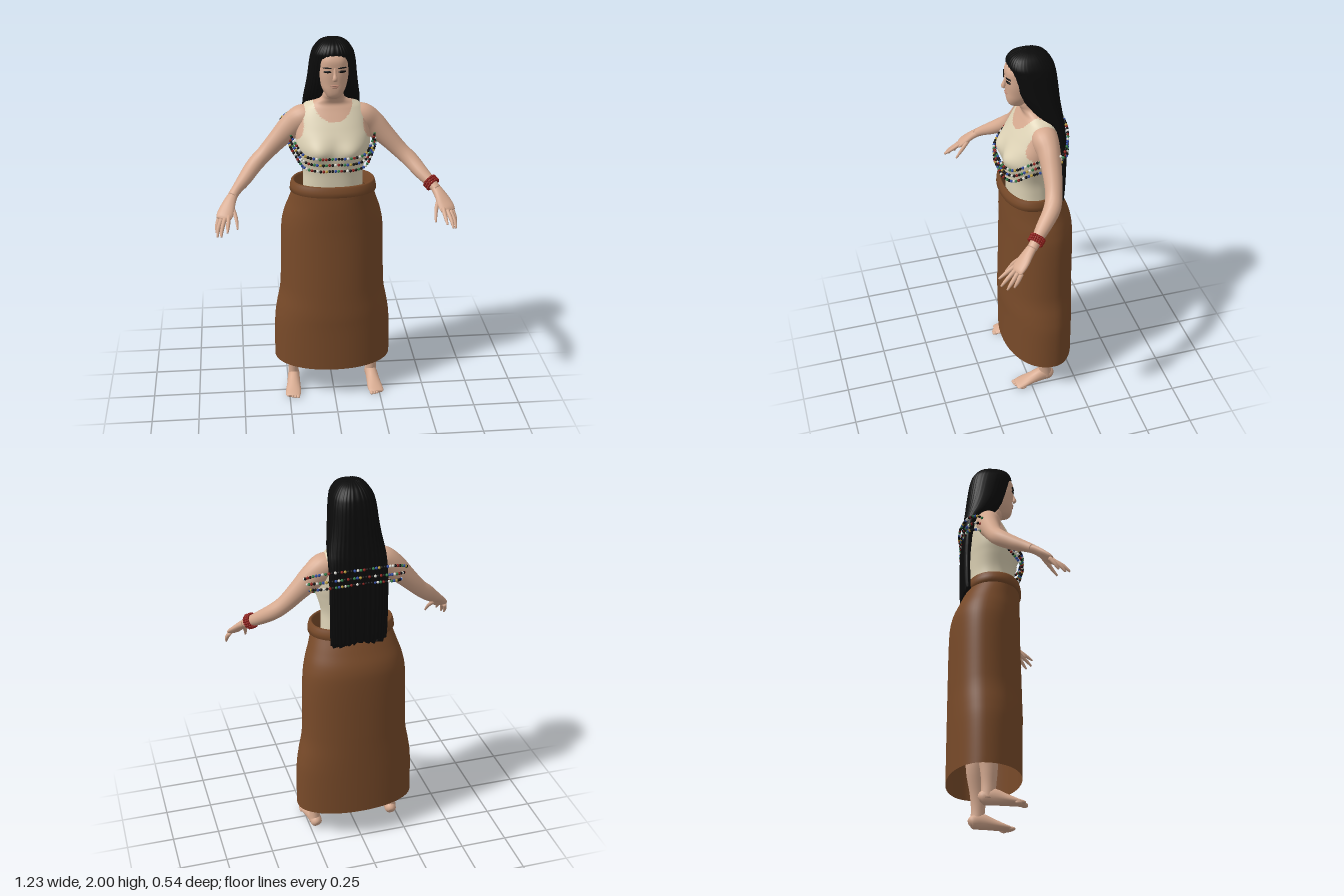
import * as THREE from 'three';
import { mergeGeometries } from 'three/addons/utils/BufferGeometryUtils.js';

const V = (x, y, z) => new THREE.Vector3(x, y, z);

// Catmull-Rom interpolation between rows of numbers, n steps per span
function smooth(rows, n) {
  const out = [], last = rows.length - 1;
  for (let i = 0; i < last * n; i++) {
    const k = Math.floor(i / n), t = i / n - k;
    const [a, b, c, d] = [-1, 0, 1, 2].map(o => rows[Math.min(Math.max(k + o, 0), last)]);
    out.push(b.map((q, j) => {
      const cubic = 3 * (q - c[j]) + d[j] - a[j];
      const square = 2 * a[j] - 5 * q + 4 * c[j] - d[j];
      return q + 0.5 * t * (c[j] - a[j] + t * (square + t * cubic));
    }));
  }
  return [...out, rows[last]];
}

// Skin rings of points; pick(centre) may choose a material index per face
function skinRings(rings, caps = true, pick = null) {
  const n = rings[0].length;
  const end = ring => {
    const c = ring.reduce((sum, p) => sum.add(p), V(0, 0, 0)).divideScalar(n);
    return ring.map(() => c);
  };
  const all = caps ? [end(rings[0]), ...rings, end(rings.at(-1))] : rings;
  const points = all.flat(), faces = [[], []];
  const tri = (a, b, c) => {
    const centre = points[a].clone().add(points[b]).add(points[c]).divideScalar(3);
    faces[pick ? pick(centre) : 0].push(a, b, c);
  };
  for (let r = 0; r < all.length - 1; r++) {
    for (let i = 0; i < n; i++) {
      const a = r * n + i, b = r * n + (i + 1) % n;
      tri(a, a + n, b);
      tri(b, a + n, b + n);
    }
  }
  const g = new THREE.BufferGeometry().setFromPoints(points).setIndex(faces.flat());
  if (pick) faces.forEach((f, m) => g.addGroup(m * faces[0].length, f.length, m));
  g.computeVertexNormals();
  return g;
}

// Horizontal sections: [y, half width, front z, back z, z of widest point]
function sections(rows, n, power, warp = () => {}) {
  const f = q => Math.sign(q) * Math.abs(q) ** (2 / power);
  return rows.map(([y, rx, zf, zb, zc = (zf + zb) / 2], r) => Array.from({ length: n }, (_, i) => {
    const t = i / n * Math.PI * 2, s = Math.sin(t);
    const p = V(rx * f(Math.cos(t)), y, zc + (s > 0 ? zf - zc : zc - zb) * f(s));
    warp(p, t, r);
    return p;
  }));
}

// Limb along a path: rows are [x, y, z, radius across, radius along ref]
function limb(rows, ref, n = 16, steps = 5) {
  const s = smooth(rows, steps), P = s.map(r => V(r[0], r[1], r[2]));
  return skinRings(P.map((p, i) => {
    const t = P[Math.min(i + 1, P.length - 1)].clone().sub(P[Math.max(i - 1, 0)]).normalize();
    const v = ref.clone().addScaledVector(t, -ref.dot(t)).normalize(), u = t.clone().cross(v);
    return Array.from({ length: n }, (_, k) => {
      const a = k / n * Math.PI * 2;
      return p.clone().addScaledVector(u, s[i][3] * Math.cos(a)).addScaledVector(v, s[i][4] * Math.sin(a));
    });
  }));
}

export function createModel() {
  const model = new THREE.Group();
  const mat = (name, color) => Object.assign(new THREE.MeshStandardMaterial({ color }), { name });
  const skin = mat('skin', 0xd6aa90), cream = mat('cream cloth', 0xded3b6), brown = mat('brown cloth', 0x784a29);
  const black = mat('black', 0x0b0b0b), red = mat('red', 0x8c1c18), lip = mat('lips', 0xb98672);
  const white = mat('white bead', 0xd8d8d0), blue = mat('blue bead', 0x2b48a0);
  const green = mat('green bead', 0x2f7a45), yellow = mat('yellow bead', 0xb89a3a);
  brown.side = THREE.DoubleSide;
  const add = (name, geo, material) => {
    const m = new THREE.Mesh(geo, material);
    m.name = name;
    model.add(m);
    return m;
  };
  const blob = (name, material, x, y, z, a, b, c) => {
    const m = add(name, new THREE.SphereGeometry(1, 14, 10), material);
    m.position.set(x, y, z);
    m.scale.set(a, b, c);
    return m;
  };

  // Wrapped skirt and its rolled waistband
  const skirt = smooth([
    [0.18, 0.32, 0.105, -0.27, -0.11], [0.4, 0.316, 0.107, -0.27, -0.11], [0.5, 0.304, 0.11, -0.27, -0.11],
    [0.6, 0.285, 0.108, -0.27, -0.11], [0.7, 0.279, 0.106, -0.27, -0.11], [0.95, 0.273, 0.1, -0.268, -0.11],
    [1.05, 0.258, 0.1, -0.258, -0.1], [1.13, 0.232, 0.1, -0.225, -0.08], [1.2, 0.21, 0.098, -0.193, -0.05]], 5);
  add('skirt', skinRings(sections(skirt, 64, 2.1), false), brown);
  const band = [[1.195, 0.208, 0.096, -0.19], [1.2, 0.226, 0.108, -0.2], [1.225, 0.224, 0.106, -0.198],
    [1.248, 0.218, 0.1, -0.192], [1.256, 0.21, 0.094, -0.186], [1.248, 0.2, 0.085, -0.178], [1.19, 0.195, 0.08, -0.173]];
  add('waistband', skinRings(sections(band, 64, 2.2), false), brown);

  // Torso: sleeveless top with skin at the neckline and armholes
  const torso = smooth([
    [1.15, 0.16, 0.06, -0.16], [1.25, 0.155, 0.065, -0.16], [1.32, 0.157, 0.07, -0.16], [1.4, 0.178, 0.08, -0.165],
    [1.45, 0.19, 0.08, -0.17], [1.5, 0.19, 0.068, -0.175], [1.55, 0.182, 0.045, -0.18], [1.6, 0.172, 0.018, -0.182],
    [1.64, 0.148, -0.003, -0.175], [1.665, 0.11, -0.012, -0.16], [1.69, 0.066, -0.002, -0.125],
    [1.72, 0.054, 0.014, -0.11], [1.78, 0.05, 0.016, -0.1]], 8);
  const bust = p => {
    const dx = (Math.abs(p.x) - 0.085) / 0.06, dy = (p.y - 1.435) / 0.055;
    if (p.z > -0.04) p.z += 0.027 * Math.exp(-dx * dx - dy * dy);
  };
  const bare = p => {
    const neck = p.z > -0.07 ? Math.hypot(p.x, p.y - 1.68) < 0.1 : p.y > 1.665;
    const armhole = Math.hypot((Math.abs(p.x) - 0.235) / 0.085, (p.y - 1.565) / 0.1) < 1;
    return p.y > 1.68 || neck || armhole ? 1 : 0;
  };
  add('torso', skinRings(sections(torso, 96, 2.3, bust), true, bare), [cream, skin]);

  // Head and face
  const skull = smooth([
    [1.705, 0.022, 0.03, -0.04], [1.718, 0.037, 0.052, -0.06], [1.735, 0.048, 0.062, -0.08], [1.76, 0.061, 0.066, -0.1],
    [1.79, 0.07, 0.067, -0.12], [1.83, 0.077, 0.07, -0.13], [1.87, 0.079, 0.07, -0.14], [1.91, 0.077, 0.069, -0.14],
    [1.95, 0.065, 0.045, -0.12], [1.975, 0.04, 0, -0.09]], 4);
  add('head', skinRings(sections(skull, 40, 2.6)), skin);
  add('nose', limb([[0, 1.872, 0.066, 0.006, 0.006], [0, 1.845, 0.073, 0.008, 0.008], [0, 1.822, 0.08, 0.012, 0.011],
    [0, 1.812, 0.076, 0.012, 0.006]], V(0, 0, 1), 12), skin);
  blob('upperLip', lip, 0, 1.784, 0.067, 0.022, 0.0045, 0.006);
  blob('lowerLip', lip, 0, 1.776, 0.066, 0.018, 0.005, 0.006);

  // Long hair, finely grooved, with ragged ends
  const hair = smooth([
    [1.185, 0.146, -0.165, -0.206], [1.25, 0.149, -0.17, -0.21], [1.4, 0.15, -0.172, -0.213], [1.55, 0.15, -0.155, -0.211],
    [1.63, 0.148, -0.11, -0.206], [1.68, 0.144, -0.055, -0.2], [1.74, 0.134, -0.01, -0.192], [1.8, 0.125, 0.022, -0.186],
    [1.87, 0.117, 0.042, -0.177], [1.91, 0.11, 0.052, -0.169], [1.94, 0.1, 0.059, -0.158], [1.975, 0.074, 0.04, -0.13],
    [1.993, 0.043, 0, -0.092], [2.0, 0.012, -0.035, -0.058]], 4);
  const strands = (p, t, r) => {
    p.z += 0.0015 * Math.sin(t * 36);
    if (r === 0) p.y += 0.012 * Math.sin(p.x * 170) + 0.008 * Math.sin(p.x * 410);
  };
  add('hair', skinRings(sections(hair, 144, 2.6, strands)), black);

  for (const s of [-1, 1]) {
    const side = s > 0 ? 'left' : 'right';
    const flip = rows => rows.map(([x, ...rest]) => [s * x, ...rest]);
    blob(side + 'Eye', black, s * 0.037, 1.855, 0.065, 0.02, 0.006, 0.006).rotation.y = s * 0.25;
    blob(side + 'Eyebrow', black, s * 0.038, 1.874, 0.065, 0.024, 0.0035, 0.006).rotation.set(0, s * 0.25, s * 0.08);
    // Arm and hand
    add(side + 'Arm', limb(flip([[0.11, 1.6, -0.085, 0.06, 0.05], [0.155, 1.575, -0.085, 0.066, 0.068],
      [0.21, 1.53, -0.09, 0.056, 0.066], [0.28, 1.462, -0.085, 0.048, 0.052], [0.35, 1.39, -0.072, 0.042, 0.043],
      [0.405, 1.34, -0.045, 0.042, 0.041], [0.46, 1.285, 0.015, 0.036, 0.035], [0.5, 1.25, 0.06, 0.027, 0.027],
      [0.525, 1.225, 0.09, 0.026, 0.022]]), V(0, 1, 0), 20), skin);
    add(side + 'Palm', limb(flip([[0.515, 1.235, 0.078, 0.024, 0.022], [0.535, 1.21, 0.11, 0.031, 0.02],
      [0.555, 1.175, 0.145, 0.041, 0.018], [0.568, 1.15, 0.172, 0.042, 0.015],
      [0.574, 1.14, 0.184, 0.036, 0.008]]), V(0, 1, 0.3)), skin);
    const fingers = [
      [[0.545, 1.155, 0.18], [0.55, 1.125, 0.225], [0.555, 1.1, 0.264]],
      [[0.565, 1.145, 0.185], [0.58, 1.11, 0.23], [0.586, 1.078, 0.262]],
      [[0.583, 1.14, 0.178], [0.6, 1.1, 0.212], [0.605, 1.066, 0.236]],
      [[0.595, 1.14, 0.162], [0.607, 1.105, 0.185], [0.609, 1.075, 0.202]],
      [[0.53, 1.19, 0.13], [0.51, 1.145, 0.175], [0.503, 1.095, 0.215]]];
    const radii = [0.011, 0.01, 0.005];
    fingers.forEach((f, i) => {
      const rows = f.map((p, k) => [...p, radii[k], radii[k]]);
      add(side + (i < 4 ? 'Finger' : 'Thumb'), limb(flip(rows), V(0.2, 1, 0.3), 8, 3), skin);
    });
    // Leg, foot and toes
    add(side + 'Leg', limb(flip([[0.22, 0.03, -0.09, 0.032, 0.036], [0.22, 0.1, -0.085, 0.029, 0.036],
      [0.218, 0.19, -0.085, 0.036, 0.044], [0.205, 0.34, -0.095, 0.055, 0.058], [0.185, 0.52, -0.08, 0.055, 0.056],
      [0.15, 0.8, -0.075, 0.078, 0.082], [0.11, 1.05, -0.07, 0.09, 0.1]]), V(0, 0, 1)), skin);
    add(side + 'Foot', limb(flip([[0.214, 0.03, -0.13, 0.014, 0.014], [0.216, 0.036, -0.115, 0.03, 0.034],
      [0.22, 0.044, -0.07, 0.033, 0.042], [0.224, 0.032, -0.01, 0.037, 0.03], [0.228, 0.021, 0.04, 0.042, 0.019],
      [0.232, 0.014, 0.075, 0.041, 0.012], [0.233, 0.011, 0.088, 0.034, 0.008]]), V(0, 1, 0)), skin);
    for (let i = 0; i < 5; i++) {
      blob(side + 'Toe', skin, s * (0.205 + i * 0.015), 0.01, 0.088 - i * i * 0.0022, 0.011 - i * 0.0008, 0.0095, 0.018);
    }
  }

  // Three strings of beads around the chest and back, merged by colour
  const beadSets = new Map();
  const bead = (p, material) => {
    if (!beadSets.has(material)) beadSets.set(material, []);
    beadSets.get(material).push(new THREE.SphereGeometry(0.0075, 8, 6).translate(p.x, p.y, p.z));
  };
  const palette = [black, white, black, red, blue, black, green, white, black, yellow, blue, red, black, green];
  [[1.415, 1.595, -0.224], [1.383, 1.55, -0.213], [1.35, 1.515, -0.21]].forEach(([front, back, zBack], k) => {
    const d = k * 0.032;
    const half = [[0.09, front, 0.108], [0.155, front + 0.01, 0.075], [0.198, 1.47 - d, 0.01], [0.225, 1.505 - d, -0.07],
      [0.262 - d * 0.4, 1.545 - d, -0.14], [0.19, back - 0.015, -0.19]];
    const loop = [V(0, front, 0.112), ...half.map(p => V(...p)), V(0, back, zBack),
      ...half.toReversed().map(([x, y, z]) => V(-x, y, z))];
    const points = new THREE.CatmullRomCurve3(loop, true).getSpacedPoints(92).slice(1);
    points.forEach((p, i) => bead(p, palette[(i * 5 + k * 3 + (i >> 3)) % palette.length]));
  });

  // Red bead bracelet on the left wrist
  const axis = V(0.04, -0.035, 0.045).normalize();
  const u = axis.clone().cross(V(0, 1, 0)).normalize(), w = axis.clone().cross(u);
  for (let i = 0; i < 54; i++) {
    const a = i / 18 * Math.PI * 2, row = Math.floor(i / 18) - 1;
    bead(V(0.5, 1.25, 0.06).addScaledVector(axis, row * 0.013)
      .addScaledVector(u, 0.034 * Math.cos(a)).addScaledVector(w, 0.034 * Math.sin(a)), red);
  }
  beadSets.forEach((list, material) => add('beads', mergeGeometries(list), material));
  return model;
}
